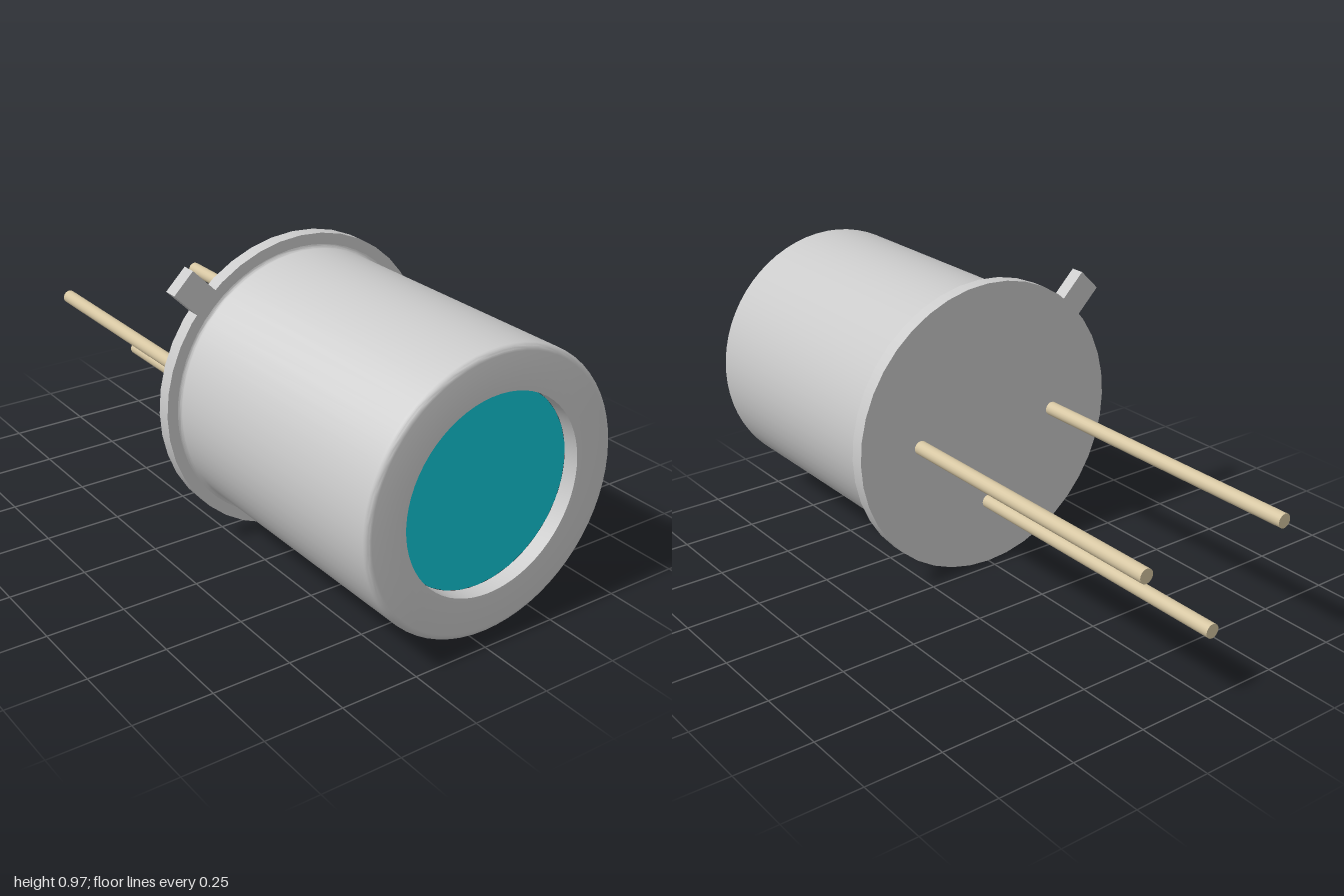
import * as THREE from 'three';
import { toCreasedNormals } from 'three/addons/utils/BufferGeometryUtils.js';

const AXIS_Y = 0.485;
const FLANGE = { radius: 0.485, back: 0.035, front: 0.082 };
const CAN = { radius: 0.437, hole: 0.305, front: 1.0, recess: 0.05, round: 0.02, flare: 0.012 };
const PIN = { radius: 0.023, back: -1.0 };

const grey = new THREE.MeshStandardMaterial({ color: 0xcccccc });
const glass = new THREE.MeshStandardMaterial({ color: 0x10c8d8 });
const gold = new THREE.MeshStandardMaterial({ color: 0xd6c6a2 });

function addMesh(group, name, geometry, material) {
  const mesh = new THREE.Mesh(geometry, material);
  mesh.name = name;
  group.add(mesh);
  return mesh;
}

// Solid rod along z between two depths
function rod(radius, z0, z1, sides) {
  return new THREE.CylinderGeometry(radius, radius, z1 - z0, sides)
    .rotateX(Math.PI / 2)
    .translate(0, 0, (z0 + z1) / 2);
}

// Quarter-circle profile points
function arc(cx, cy, r, from, to, steps = 5) {
  return Array.from({ length: steps + 1 }, (_, i) => {
    const a = from + ((to - from) * i) / steps;
    return new THREE.Vector2(cx + r * Math.cos(a), cy + r * Math.sin(a));
  });
}

// Can: flared foot, straight wall, rounded front rim, window opening
function canGeometry() {
  const { radius, hole, front, recess, round, flare } = CAN;
  const profile = [
    ...arc(radius + flare, FLANGE.front + flare, flare, Math.PI * 1.5, Math.PI),
    ...arc(radius - round, front - round, round, 0, Math.PI / 2),
    new THREE.Vector2(hole, front),
    new THREE.Vector2(hole, front - recess),
  ];
  const lathe = new THREE.LatheGeometry(profile, 64).rotateX(Math.PI / 2);
  return toCreasedNormals(lathe, 0.6);
}

export function createModel() {
  const model = new THREE.Group();
  model.name = 'metalCanSensor';

  const body = new THREE.Group();
  body.name = 'body';
  body.position.y = AXIS_Y;
  model.add(body);

  addMesh(body, 'flange', rod(FLANGE.radius, FLANGE.back, FLANGE.front, 40), grey);
  addMesh(body, 'can', canGeometry(), grey);

  // Window set back inside the opening
  const windowFront = CAN.front - CAN.recess;
  addMesh(body, 'window', rod(CAN.hole, windowFront - 0.02, windowFront, 32), glass);

  // Orientation tab, pointing up and to the model's right
  const inner = 0.45, outer = 0.588;
  const tab = addMesh(body, 'orientationTab',
    new THREE.BoxGeometry(outer - inner, 0.092, FLANGE.front - FLANGE.back)
      .translate((inner + outer) / 2, 0, (FLANGE.front + FLANGE.back) / 2), grey);
  tab.rotation.z = Math.PI * 0.75;

  // Three leads: left, right and bottom
  const leads = { leftLead: [0.263, 0], rightLead: [-0.263, 0], bottomLead: [0, -0.263] };
  for (const [name, [x, y]] of Object.entries(leads)) {
    const lead = addMesh(body, name, rod(PIN.radius, PIN.back, FLANGE.back + 0.01, 20), gold);
    lead.position.set(x, y, 0);
  }

  return model;
}
